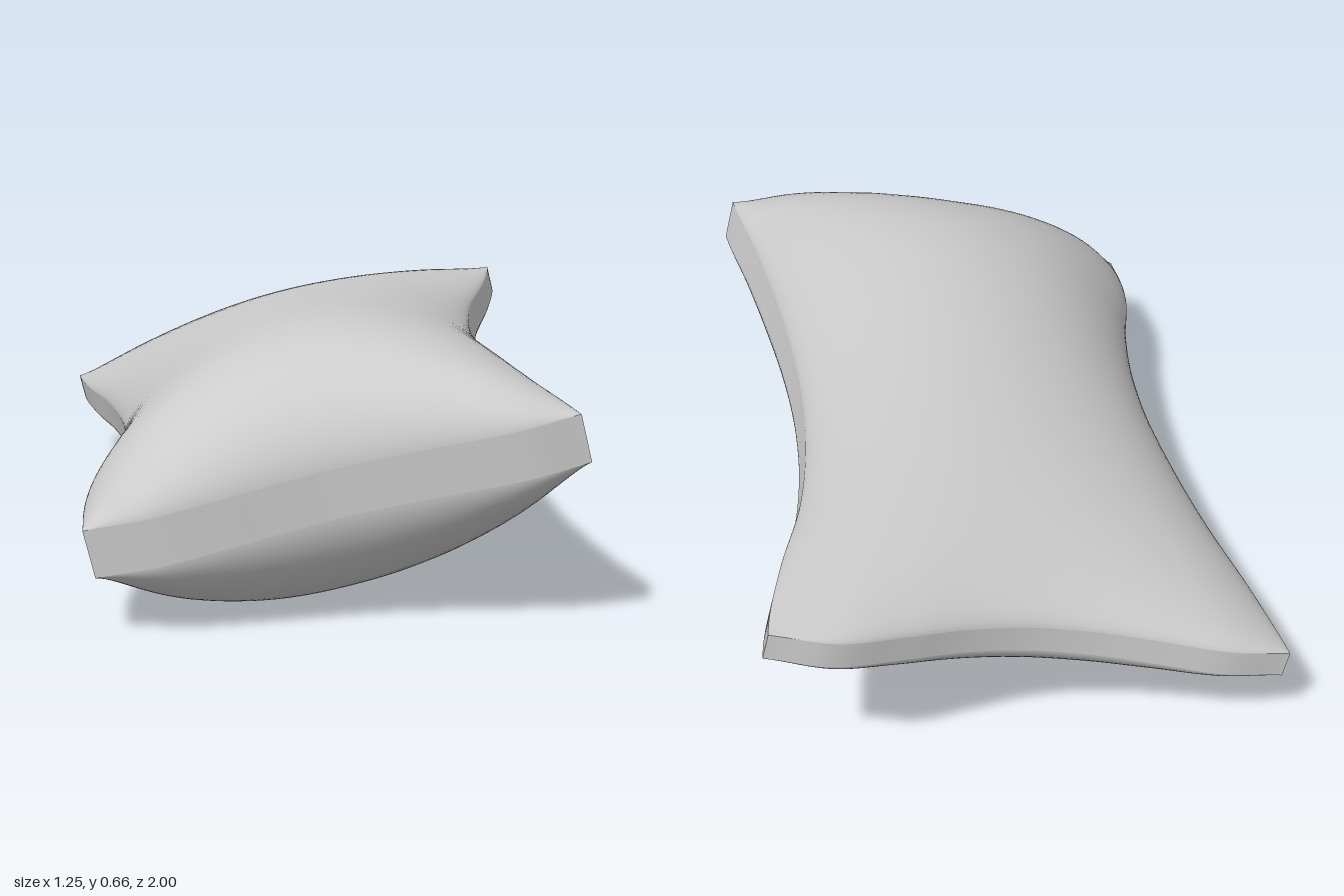
import * as THREE from 'three';

// Smooth edge profile through evenly spaced values, parameter -1..1
function profile(values) {
  const curve = new THREE.SplineCurve(values.map((v, i) => new THREE.Vector2(i, v)));
  return (s) => curve.getPoint((s + 1) / 2).y;
}

// Outline of the cushion, pulled in between its four corners
const leftX = profile([-0.615, -0.585, -0.54, -0.51, -0.495, -0.505, -0.54, -0.595, -0.605]);
const rightX = profile([0.62, 0.565, 0.49, 0.445, 0.425, 0.425, 0.44, 0.465, 0.5]);
const frontZ = profile([0.885, 0.928, 0.925, 0.915, 0.91, 0.93, 0.965, 0.995, 0.983]);
const backZ = profile([-0.918, -0.93, -0.908, -0.89, -0.89, -0.915, -0.96, -1, -0.985]);

const SLOPE = 0.24; // sideways tilt of the seam plane
const NORMAL = new THREE.Vector2(-SLOPE, 1).normalize();
const { lerp } = THREE.MathUtils;

// Half height of the border band, thicker at the front
const bandHalf = (v) => lerp(0.033, 0.057, (v + 1) / 2);

// Stuffing height above the band, fuller at the front and sloping down to the ends
function puff(u, v) {
  const across = Math.pow(Math.max(0, 1 - u * u), 0.66);
  const along = Math.pow(Math.max(0, 1 - v ** 4), 0.6);
  return (0.233 + 0.085 * v) * across * along;
}

// Point over (u, v) at a signed height from the seam plane
function place(u, v, height) {
  const x = lerp(leftX(v), rightX(v), (u + 1) / 2);
  const z = lerp(backZ(u), frontZ(u), (v + 1) / 2);
  return [x + NORMAL.x * height, 0.33 + SLOPE * x + NORMAL.y * height, z];
}

// Grid surface from a point function of (s, t) in -1..1
function surface(name, material, cols, rows, point, flip) {
  const positions = [];
  const index = [];
  for (let j = 0; j <= rows; j++) {
    for (let i = 0; i <= cols; i++) {
      positions.push(...point((2 * i) / cols - 1, (2 * j) / rows - 1));
      if (i === cols || j === rows) continue;
      const a = j * (cols + 1) + i;
      const b = a + 1;
      const c = a + cols + 1;
      const d = c + 1;
      if (flip) index.push(a, b, c, b, d, c);
      else index.push(a, c, b, b, c, d);
    }
  }
  const geometry = new THREE.BufferGeometry();
  geometry.setAttribute('position', new THREE.Float32BufferAttribute(positions, 3));
  geometry.setIndex(index);
  geometry.computeVertexNormals();
  const mesh = new THREE.Mesh(geometry, material);
  mesh.name = name;
  return mesh;
}

export function createModel() {
  const group = new THREE.Group();
  group.name = 'cushion';
  const material = new THREE.MeshStandardMaterial({ color: 0xcccccc, side: THREE.DoubleSide });
  const ease = (s) => Math.sin((s * Math.PI) / 2); // denser rows near the seams

  // Upper and lower stuffed panels
  for (const side of [1, -1]) {
    group.add(surface(side > 0 ? 'topPanel' : 'bottomPanel', material, 48, 64, (s, t) => {
      const u = ease(s);
      const v = ease(t);
      return place(u, v, side * (bandHalf(v) + puff(u, v)));
    }, side < 0));
  }

  // Border band, one strip per edge so the corners stay sharp
  for (const end of [1, -1]) {
    group.add(surface(end > 0 ? 'frontBand' : 'backBand', material, 48, 1,
      (s, t) => place(ease(s), end, t * bandHalf(end)), end > 0));
    group.add(surface(end > 0 ? 'leftBand' : 'rightBand', material, 64, 1,
      (s, t) => place(end, ease(s), t * bandHalf(ease(s))), end < 0));
  }

  // Rest the cushion on the ground, centred
  const box = new THREE.Box3().setFromObject(group);
  const centre = box.getCenter(new THREE.Vector3());
  group.children.forEach((m) => m.geometry.translate(-centre.x, -box.min.y, -centre.z));
  return group;
}
